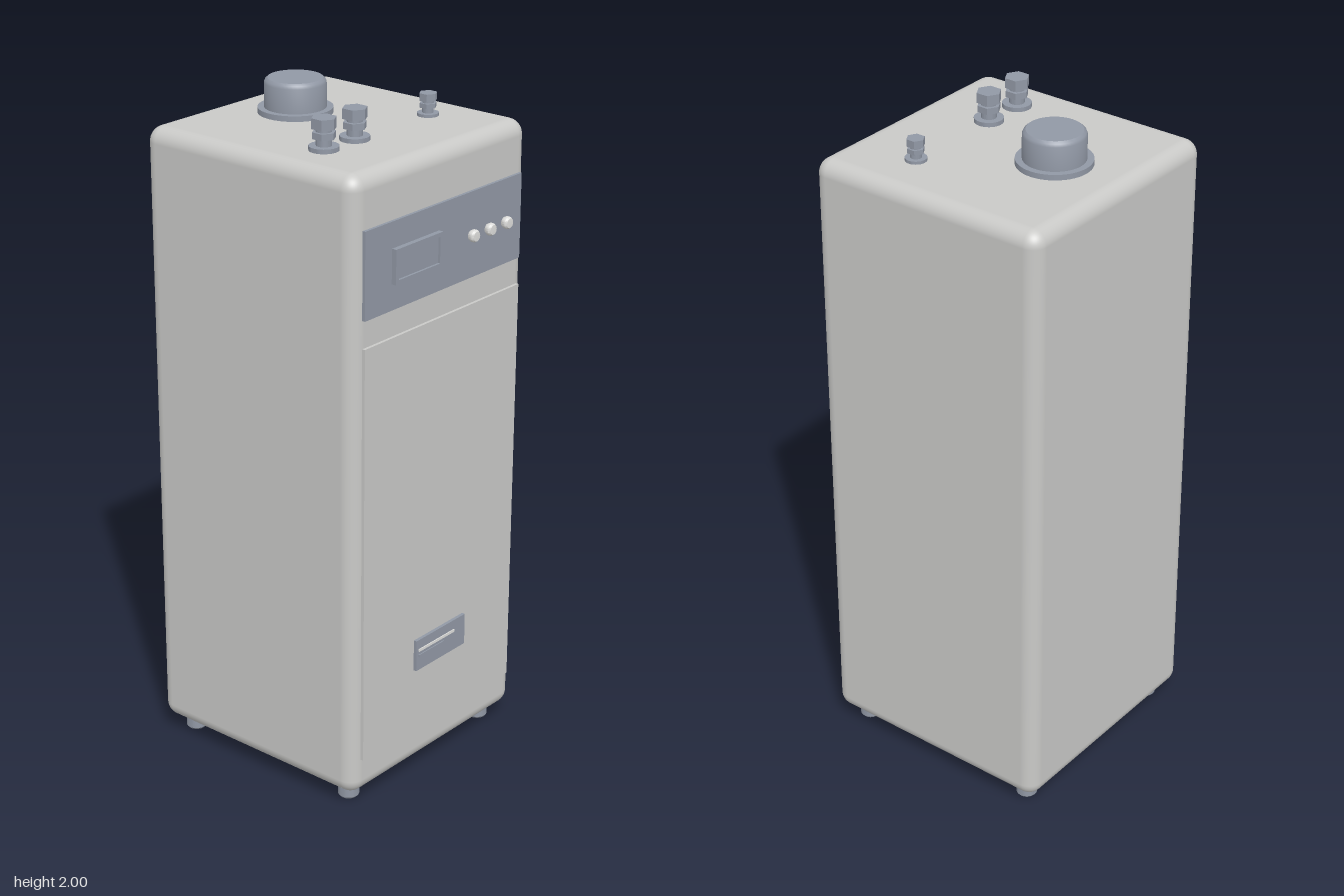
import * as THREE from 'three';
import { RoundedBoxGeometry } from 'three/addons/geometries/RoundedBoxGeometry.js';
import { toCreasedNormals } from 'three/addons/utils/BufferGeometryUtils.js';

const mat = (name, color) => Object.assign(new THREE.MeshStandardMaterial({ color }), { name });

export function createModel() {
  const group = new THREE.Group();
  const casing = mat('casing grey', 0xc9c9c7);
  const metal = mat('blue grey metal', 0x9198a5);
  const buttonPaint = mat('pale button', 0xdededc);

  const add = (name, geometry, material, x, y, z, parent = group) => {
    const mesh = new THREE.Mesh(geometry, material);
    mesh.name = name;
    mesh.position.set(x, y, z);
    parent.add(mesh);
    return mesh;
  };
  // Box given by its edges
  const box = (name, material, x0, x1, y0, y1, z0, z1) =>
    add(name, new THREE.BoxGeometry(x1 - x0, y1 - y0, z1 - z0), material,
      (x0 + x1) / 2, (y0 + y1) / 2, (z0 + z1) / 2);
  // Turned part from [radius, height] pairs
  const turned = (points, sides = 32) => toCreasedNormals(
    new THREE.LatheGeometry(points.map(([r, y]) => new THREE.Vector2(r, y)), sides), 0.6);

  // Cabinet
  add('cabinet', new RoundedBoxGeometry(0.756, 1.855, 0.76, 5, 0.045), casing, 0, 0.9725, -0.017);

  // Front door and control panel
  box('door', casing, -0.34, 0.34, 0.16, 1.42, 0.35, 0.372);
  box('controlPanel', metal, -0.34, 0.34, 1.5, 1.75, 0.35, 0.372);

  // Display: raised frame around a recessed screen
  const frame = new THREE.Shape();
  frame.moveTo(-0.1, -0.05).lineTo(0.1, -0.05).lineTo(0.1, 0.05).lineTo(-0.1, 0.05).closePath();
  const hole = new THREE.Path();
  hole.moveTo(-0.088, -0.038).lineTo(-0.088, 0.038).lineTo(0.088, 0.038).lineTo(0.088, -0.038).closePath();
  frame.holes.push(hole);
  add('displayFrame', new THREE.ExtrudeGeometry(frame, { depth: 0.016, bevelEnabled: false }),
    metal, -0.13, 1.625, 0.371);
  box('displayScreen', metal, -0.218, -0.042, 1.587, 1.663, 0.371, 0.38);

  // Round buttons
  const buttonProfile = [[0, 0], [0.014, 0], [0.018, 0.008], [0.018, 0.016], [0.014, 0.022], [0, 0.023]];
  for (const x of [0.113, 0.188, 0.264]) {
    add('button', turned(buttonProfile, 20), buttonPaint, x, 1.625, 0.371).rotation.x = Math.PI / 2;
  }

  // Name plate with two plain raised bars
  box('plate', metal, -0.115, 0.11, 0.36, 0.457, 0.371, 0.382);
  box('plateUpperBar', buttonPaint, -0.105, 0.058, 0.42, 0.428, 0.382, 0.385);
  box('plateLowerBar', metal, -0.105, 0.01, 0.402, 0.41, 0.382, 0.385);

  // Flue outlet with flange and softened rim
  add('flue', turned([[0.107, 0], [0.107, 0.018], [0.088, 0.018], [0.088, 0.088],
    [0.085, 0.096], [0.078, 0.102], [0, 0.102]], 48), metal, 0, 1.898, -0.17);

  // Pipe connections: washer, stem, hex nut, neck and hex cap
  const connector = (name, x, s, height) => {
    const pipe = new THREE.Group();
    pipe.name = name;
    pipe.position.set(x, 1.898, 0.135);
    group.add(pipe);
    const part = (label, r, y0, y1, sides) => add(label,
      toCreasedNormals(new THREE.CylinderGeometry(r * s, r * s, (y1 - y0) * height, sides), 0.6),
      metal, 0, (y0 + y1) / 2 * height, 0, pipe);
    part('washer', 0.042, 0, 0.16, 28);
    part('stem', 0.022, 0.16, 0.95, 20);
    part('hexNut', 0.034, 0.38, 0.58, 6);
    part('hexCap', 0.036, 0.68, 1, 6);
  };
  connector('flowPipe', -0.23, 1, 0.092);
  connector('returnPipe', -0.103, 1, 0.092);
  connector('gasPipe', 0.213, 0.73, 0.067);

  // Feet
  const footProfile = [[0, 0], [0.026, 0], [0.031, 0.006], [0.031, 0.034], [0.026, 0.04], [0.026, 0.055]];
  for (const x of [-0.305, 0.305]) {
    for (const z of [-0.322, 0.288]) add('foot', turned(footProfile, 20), metal, x, 0, z);
  }

  // Lathe profiles ordered bottom to top face outwards
  return group;
}
